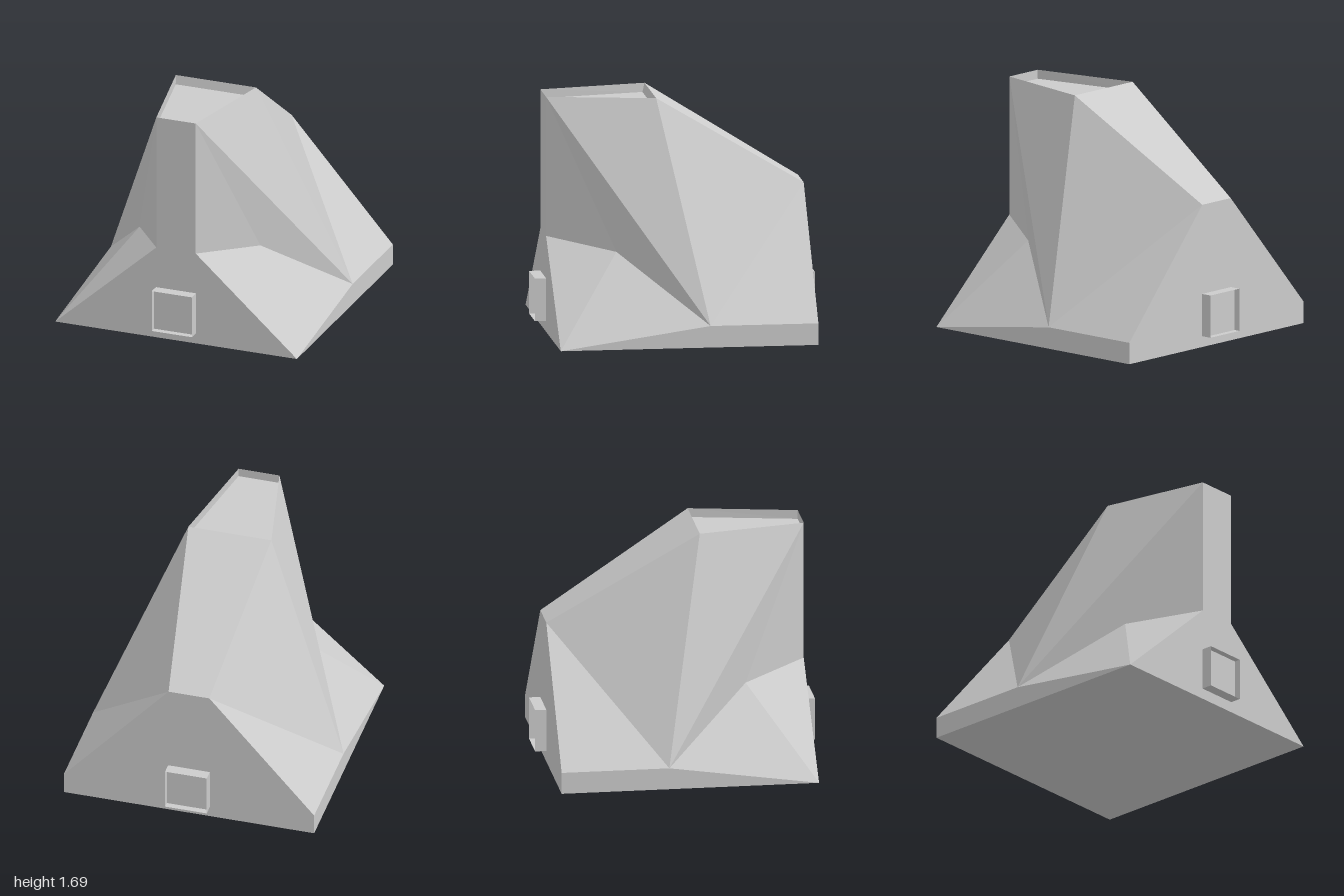
import * as THREE from 'three';

// Corner points of the +x half; the -x half is mirrored
const P = {
  footFront: [0.92, 0, 0.92], footBack: [0.92, 0, -0.92],
  sillBack: [0.92, 0.155, -0.92], sill: [0.92, 0.155, -0.15],
  notch: [0.46, 0.62, 0.46], neck: [0.15, 0.69, 0.92],
  topFront: [0.15, 1.69, 0.92], topBack: [0.305, 1.69, 0.155],
  ridgeBack: [0.15, 1.03, -0.92],
  floorFront: [0.15, 1.625, 0.92], floorBack: [0.3, 1.625, 0.17],
};

const material = new THREE.MeshStandardMaterial({ color: 0xcccccc, flatShading: true });

const mirror = ([x, y, z]) => [-x, y, z];
// Name to point; a leading "-" means the mirrored point
const point = (n) => (n[0] === '-' ? mirror(P[n.slice(1)]) : P[n]);
const face = (names) => names.split(' ').map(point);
const mirrorFace = (f) => f.map(mirror).reverse();

// Mesh from convex polygons, each cut into a fan of triangles
function polyMesh(name, faces) {
  const pos = [];
  for (const f of faces)
    for (let i = 1; i < f.length - 1; i++) pos.push(...f[0], ...f[i], ...f[i + 1]);
  const g = new THREE.BufferGeometry();
  g.setAttribute('position', new THREE.Float32BufferAttribute(pos, 3));
  g.computeVertexNormals();
  const mesh = new THREE.Mesh(g, material);
  mesh.name = name;
  return mesh;
}

// Square port: a short sleeve with a panel set back inside it
function createPort(name) {
  const port = new THREE.Group();
  port.name = name;
  const h = 0.153, depth = 0.08, recess = 0.045;
  const ring = (z) => [[-h, -h, z], [h, -h, z], [h, h, z], [-h, h, z]];
  const back = ring(0), rim = ring(depth), panel = ring(depth - recess);
  const strip = (a, b) => a.map((_, i) => [a[i], a[(i + 1) % 4], b[(i + 1) % 4], b[i]]);
  port.add(polyMesh('sleeve', [...strip(back, rim), ...strip(rim, panel)]));
  port.add(polyMesh('panel', [panel]));
  return port;
}

export function createModel() {
  const model = new THREE.Group();
  model.name = 'taperedBlock';

  // Facets of the flanks
  const flank = [
    'topFront neck notch',
    'neck footFront notch',
    'topFront notch sill',
    'topFront sill topBack',
    'notch footFront sill',
    'footFront footBack sillBack sill',
    'sill sillBack ridgeBack',
    'topBack sill ridgeBack',
  ].map(face);
  model.add(polyMesh('leftFlank', flank));
  model.add(polyMesh('rightFlank', flank.map(mirrorFace)));

  // Faces that span the middle
  model.add(polyMesh('frontWall', [
    face('-topFront -neck neck topFront'),
    face('-neck -footFront footFront neck'),
  ]));
  model.add(polyMesh('backWall', [face('ridgeBack sillBack footBack -footBack -sillBack -ridgeBack')]));
  model.add(polyMesh('backSlope', [face('topBack ridgeBack -ridgeBack -topBack')]));
  model.add(polyMesh('base', [face('-footFront -footBack footBack footFront')]));

  // Shallow recess in the top
  const side = face('topBack floorBack floorFront topFront');
  model.add(polyMesh('topRecess', [
    face('topFront floorFront -floorFront -topFront'),
    face('-topBack -floorBack floorBack topBack'),
    side, mirrorFace(side),
    face('floorFront floorBack -floorBack -floorFront'),
  ]));

  // Ports on the front and back
  const front = createPort('frontPort');
  front.position.set(0, 0.232, 0.92);
  const back = createPort('backPort');
  back.position.set(0, 0.232, -0.92);
  back.rotation.y = Math.PI;
  model.add(front, back);

  return model;
}
